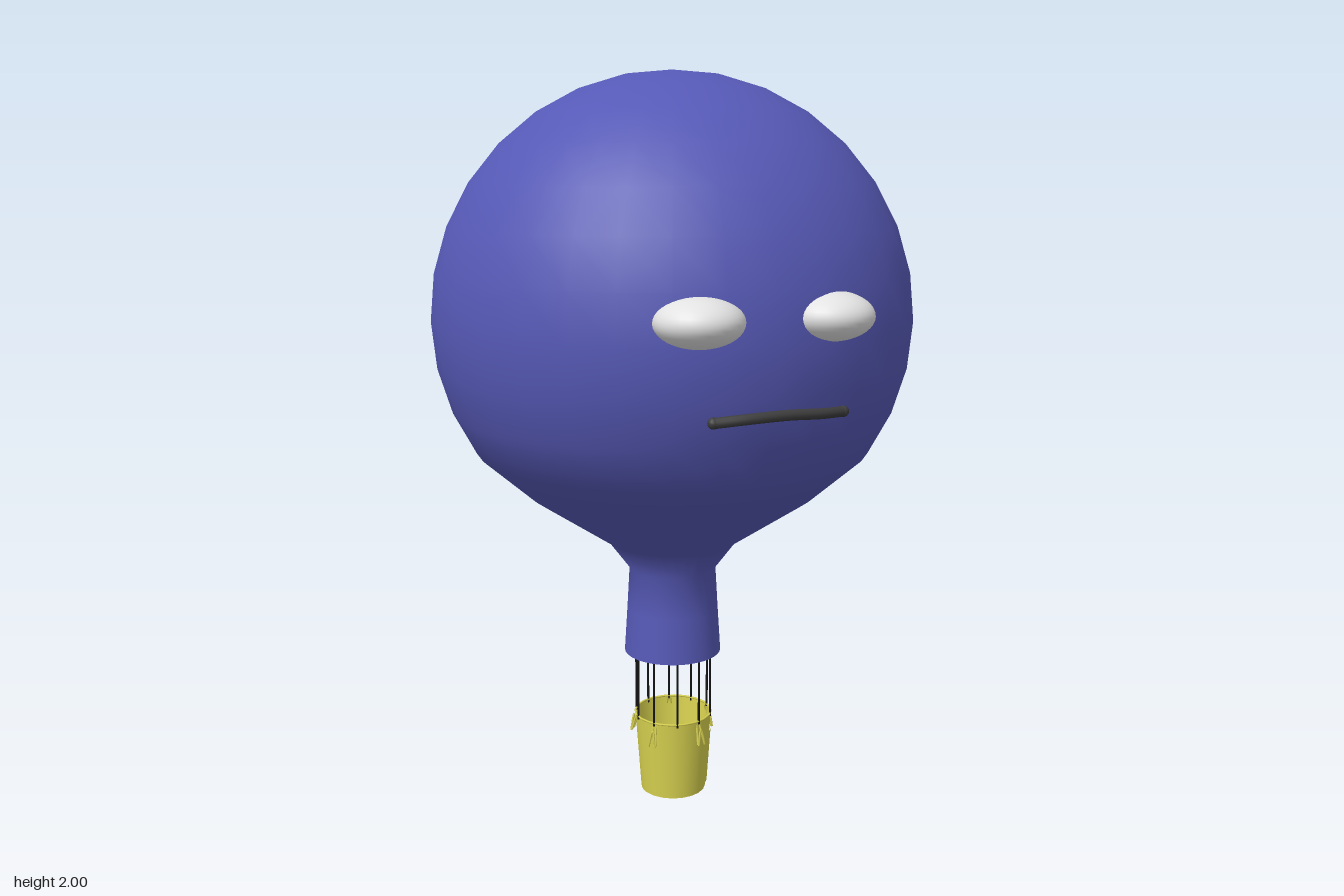
import * as THREE from 'three';

const mat = (name, color, side = THREE.FrontSide) => {
  const m = new THREE.MeshStandardMaterial({ color, side });
  m.name = name;
  return m;
};

export function createModel() {
  const root = new THREE.Group();
  const blue = mat('balloon blue', 0x5659b6, THREE.DoubleSide);
  const yellow = mat('basket yellow', 0xd8d250, THREE.DoubleSide);
  const white = mat('eye white', 0xe2e2e2);
  const dark = mat('mouth grey', 0x3c3c3c);
  const black = mat('rope black', 0x141414);
  const add = (parent, name, geo, m, x = 0, y = 0, z = 0) => {
    const mesh = new THREE.Mesh(geo, m);
    mesh.name = name;
    mesh.position.set(x, y, z);
    parent.add(mesh);
    return mesh;
  };

  // Envelope: open flared neck running into a round ball
  const profile = [[0.135, 0.415], [0.127, 0.54], [0.12, 0.66], [0.18, 0.74], [0.39, 0.88]]
    .map(([r, y]) => new THREE.Vector2(r, y));
  for (let i = 5; i <= 16; i++) {
    const a = (i / 16) * Math.PI;
    profile.push(new THREE.Vector2(Math.max(0, 0.64 * Math.sin(a)), 1.36 - 0.64 * Math.cos(a)));
  }
  add(root, 'envelope', new THREE.LatheGeometry(profile, 32), blue, 0.002, 0, -0.035);

  // Face
  const face = new THREE.Group();
  face.name = 'face';
  root.add(face);
  const eyeGeo = new THREE.SphereGeometry(0.107, 32, 20).scale(1, 0.56, 1);
  add(face, 'rightEye', eyeGeo, white, -0.288, 1.417, 0.505);
  add(face, 'leftEye', eyeGeo, white, 0.044, 1.417, 0.566);
  const lip = new THREE.CatmullRomCurve3([
    [-0.275, 1.191, 0.545], [-0.2, 1.199, 0.583], [-0.1, 1.202, 0.608], [-0.02, 1.198, 0.618], [0.05, 1.196, 0.615],
  ].map(p => new THREE.Vector3(...p)));
  add(face, 'mouth', new THREE.TubeGeometry(lip, 16, 0.013, 10), dark);
  for (const t of [0, 1]) {
    const p = lip.getPoint(t);
    add(face, 'mouthEnd', new THREE.SphereGeometry(0.014, 10, 8), dark, p.x, p.y, p.z);
  }

  // Basket: open tapered wall, floor and rim
  const basket = new THREE.Group();
  basket.name = 'basket';
  basket.position.set(0, 0, -0.03);
  root.add(basket);
  add(basket, 'basketWall', new THREE.CylinderGeometry(0.108, 0.092, 0.228, 20, 1, true), yellow, 0, 0.116, 0);
  add(basket, 'basketFloor', new THREE.CylinderGeometry(0.092, 0.092, 0.006, 20), yellow, 0, 0.003, 0);
  add(basket, 'basketRim', new THREE.TorusGeometry(0.108, 0.003, 6, 20).rotateX(Math.PI / 2), yellow, 0, 0.229, 0);

  // Small door panel on the front left of the wall
  const door = new THREE.CylinderGeometry(0.108, 0.097, 0.16, 6, 1, true, 0.45, 0.5);
  add(basket, 'door', door, yellow, 0, 0.1, 0);

  // Ropes, with a hanging loop on every other one
  const loop = new THREE.CatmullRomCurve3([
    [-0.004, 0.035, -0.006], [-0.012, -0.03, 0.01], [0, 0.02, 0.006], [0.01, -0.03, 0.012], [0.004, 0.035, -0.006],
  ].map(p => new THREE.Vector3(...p)));
  const loopGeo = new THREE.TubeGeometry(loop, 20, 0.003, 5);
  const ropeGeo = new THREE.CylinderGeometry(0.003, 0.003, 0.25, 6);
  for (let i = 0; i < 10; i++) {
    const a = (i / 10) * Math.PI * 2 + 0.15;
    const s = Math.sin(a), c = Math.cos(a);
    add(basket, 'rope', ropeGeo, black, s * 0.107, 0.345, c * 0.107);
    if (i % 2 === 0) add(basket, 'ropeLoop', loopGeo, yellow, s * 0.109, 0.188, c * 0.109).rotation.y = a;
  }
  return root;
}
